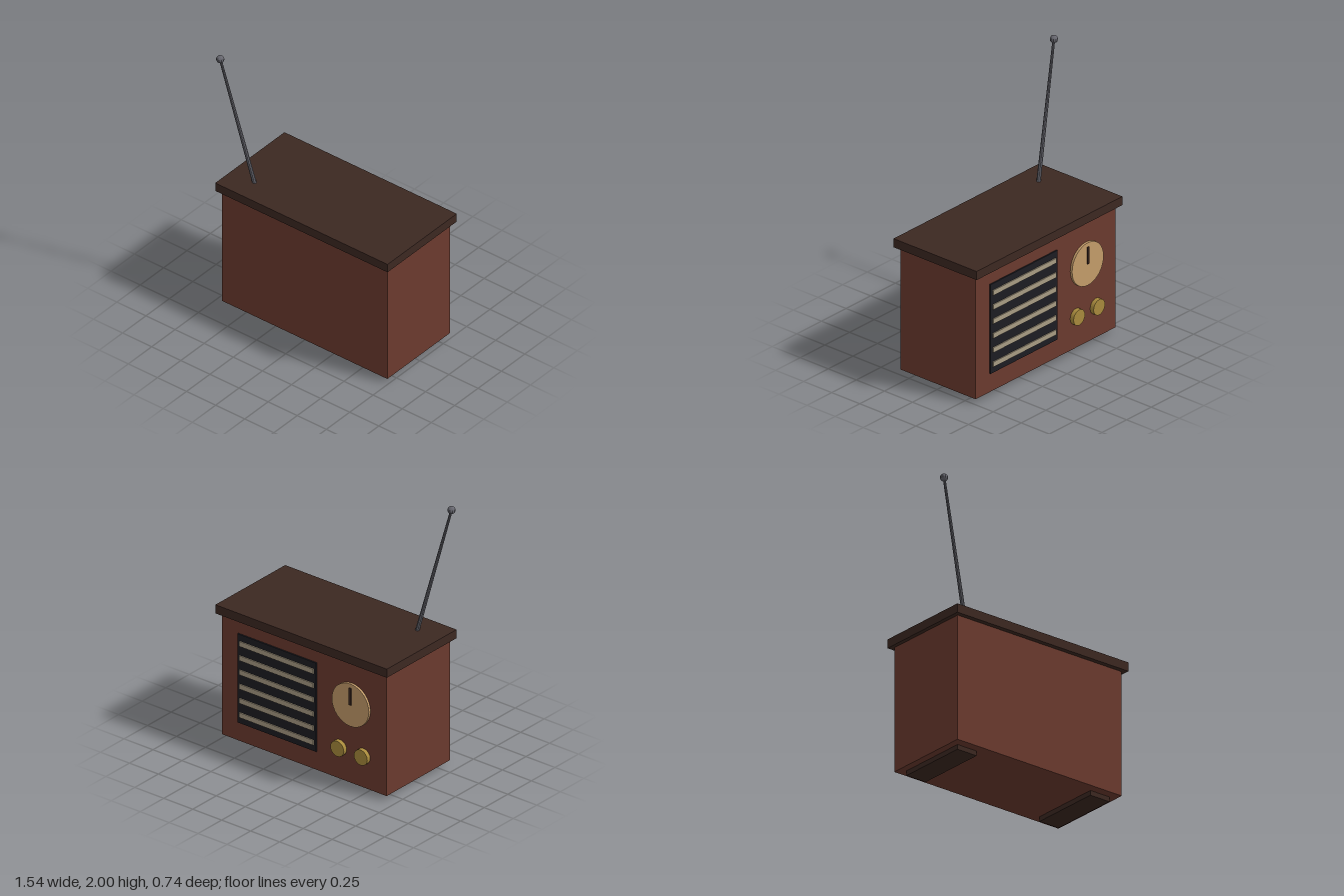
import * as THREE from 'three';

const paint = (color, flatShading = false) => {
  const m = new THREE.MeshStandardMaterial({ flatShading });
  m.color.set(color);
  return m;
};
const WOOD = paint(0x6b3a2e), DARK = paint(0x3c2821), BLACK = paint(0x1c1c22);
const SLAT = paint(0xa89c84), CREAM = paint(0xc49c6a), BRASS = paint(0xa88a3c);
const METAL = paint(0x66666e, true);

const CX = 0.03;      // middle of the cabinet
const FACE = -0.335;  // cabinet wall that carries the controls

export function createModel() {
  const radio = new THREE.Group();
  radio.name = 'radio';

  const add = (name, geometry, material, x, y, z) => {
    const mesh = new THREE.Mesh(geometry, material);
    mesh.name = name;
    mesh.position.set(x, y, z);
    radio.add(mesh);
    return mesh;
  };
  const box = (name, w, h, d, material, x, y, z) =>
    add(name, new THREE.BoxGeometry(w, h, d), material, x, y, z);
  // Disc standing out from the control face
  const disc = (name, r, depth, sides, material, x, y) =>
    add(name, new THREE.CylinderGeometry(r, r, depth, sides).rotateX(Math.PI / 2),
      material, x, y, FACE - depth / 2);

  // Cabinet, lid and feet
  box('cabinet', 1.42, 0.92, 0.67, WOOD, CX, 0.495, 0);
  box('lid', 1.48, 0.065, 0.74, DARK, CX, 0.985, 0);
  for (const side of [-1, 1]) {
    box('foot', 0.165, 0.036, 0.54, DARK, CX + side * 0.575, 0.018, 0);
  }

  // Speaker grille with horizontal slats
  box('speakerPanel', 0.68, 0.67, 0.01, BLACK, 0.26, 0.51, FACE - 0.005);
  for (let i = 0; i < 6; i++) {
    box('speakerSlat', 0.64, 0.037, 0.018, SLAT, 0.26, 0.24 + i * 0.1075, FACE - 0.009);
  }

  // Tuning dial, pointer and knobs
  disc('dial', 0.16, 0.017, 32, CREAM, -0.38, 0.63);
  box('dialPointer', 0.018, 0.127, 0.012, DARK, -0.38, 0.696, FACE - 0.018);
  for (const x of [-0.277, -0.48]) disc('knob', 0.058, 0.031, 20, BRASS, x, 0.272);

  // Tapered leaning antenna with a ball tip
  const base = new THREE.Vector3(-0.505, 1.0, 0.2);
  const tip = new THREE.Vector3(-0.746, 1.972, 0.272);
  const axis = tip.clone().sub(base);
  const mid = base.clone().add(tip).multiplyScalar(0.5);
  const rod = add('antennaRod', new THREE.CylinderGeometry(0.009, 0.015, axis.length(), 8),
    METAL, mid.x, mid.y, mid.z);
  rod.quaternion.setFromUnitVectors(new THREE.Vector3(0, 1, 0), axis.normalize());
  add('antennaTip', new THREE.SphereGeometry(0.028, 10, 8), METAL, tip.x, tip.y, tip.z);

  return radio;
}
